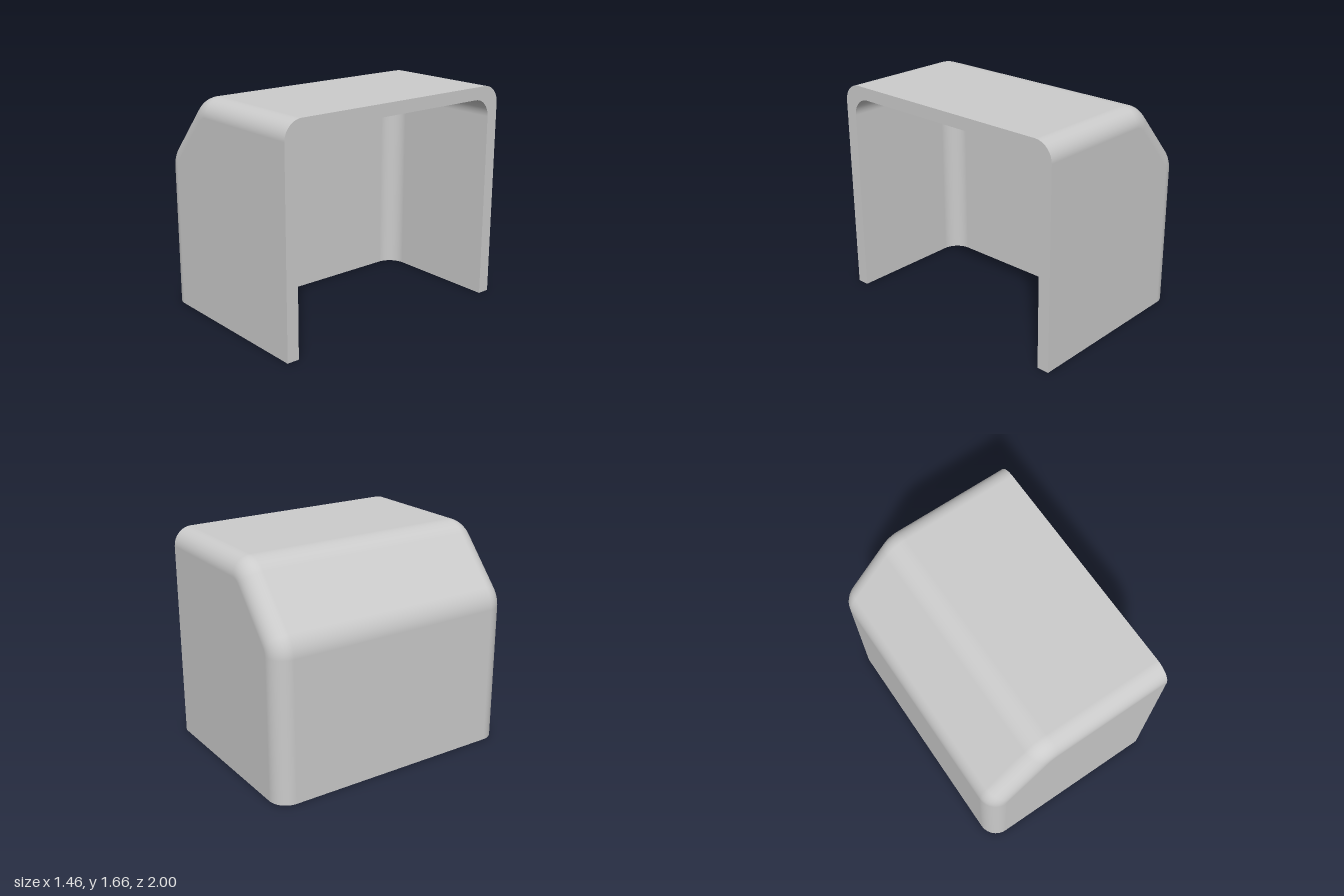
import * as THREE from 'three';

const FRONT_X = 0.73; // plane of the open end
const STEPS = 10;     // segments per rounded edge

// Side profile with filleted corners: points plus inward normals.
function profile(corners, radius) {
  const out = [];
  const angle = (a, b) => Math.atan2(b[1] - a[1], b[0] - a[0]);
  const add = (x, y, t) => out.push({ x, y, nx: Math.sin(t), ny: -Math.cos(t) });
  const last = corners.length - 1;
  add(...corners[0], angle(corners[0], corners[1]));
  for (let i = 1; i < last; i++) {
    const t0 = angle(corners[i - 1], corners[i]);
    const t1 = angle(corners[i], corners[i + 1]);
    const cut = radius * Math.tan((t0 - t1) / 2);
    const cx = corners[i][0] - Math.cos(t0) * cut + Math.sin(t0) * radius;
    const cy = corners[i][1] - Math.sin(t0) * cut - Math.cos(t0) * radius;
    for (let k = 0; k <= STEPS; k++) {
      const t = t0 + (t1 - t0) * k / STEPS;
      add(cx - Math.sin(t) * radius, cy + Math.cos(t) * radius, t);
    }
  }
  add(...corners[last], angle(corners[last - 1], corners[last]));
  return out;
}

// Sweep the profile across z, insetting it along a quarter round at both sides;
// the first and last columns close the flat side walls.
function sweepRows(points, half, r) {
  return points.map((p) => {
    const row = [{ pos: [FRONT_X, 0, half], nor: [0, 0, 1] }];
    for (const s of [1, -1]) {
      for (let k = 0; k <= STEPS; k++) {
        const a = (s > 0 ? 1 - k / STEPS : k / STEPS) * Math.PI / 2;
        const d = r * (1 - Math.cos(a));
        row.push({
          pos: [p.x + p.nx * d, p.y + p.ny * d, s * (half - r + r * Math.sin(a))],
          nor: [-p.nx * Math.cos(a), -p.ny * Math.cos(a), s * Math.sin(a)],
        });
      }
    }
    row.push({ pos: [FRONT_X, 0, -half], nor: [0, 0, -1] });
    return row;
  });
}

// Join rows of points into a surface; flip turns it inside out.
function surface(name, rows, { flip = false, normal = null } = {}) {
  const pos = [], nor = [], idx = [], n = rows[0].length;
  rows.forEach((row, i) => row.forEach((v, j) => {
    pos.push(...v.pos);
    nor.push(...(normal || v.nor.map((c) => (flip ? -c : c))));
    if (i === rows.length - 1 || j === n - 1) return;
    const a = i * n + j, b = a + n, c = a + 1, d = b + 1;
    idx.push(...(flip ? [a, c, b, b, c, d] : [a, b, c, b, d, c]));
  }));
  const geo = new THREE.BufferGeometry();
  geo.setAttribute('position', new THREE.Float32BufferAttribute(pos, 3));
  geo.setAttribute('normal', new THREE.Float32BufferAttribute(nor, 3));
  geo.setIndex(idx);
  const mesh = new THREE.Mesh(geo, new THREE.MeshStandardMaterial({ color: 0xcccccc }));
  mesh.name = name;
  return mesh;
}

export function createModel() {
  const group = new THREE.Group();
  group.name = 'hoodCover';

  // Chamfered outside and plain box-shaped cavity
  const outer = sweepRows(profile(
    [[-0.73, 0], [-0.73, 1.17], [-0.29, 1.665], [FRONT_X, 1.665]], 0.24), 1, 0.14);
  const inner = sweepRows(profile(
    [[-0.29, 0], [-0.29, 1.57], [FRONT_X, 1.57]], 0.14), 0.905, 0.14);

  group.add(
    surface('outerShell', outer),
    surface('innerCavity', inner, { flip: true }),
    // Flat edges joining outside and cavity
    surface('bottomEdge', [inner[0], outer[0]], { normal: [0, -1, 0] }),
    surface('frontRim', [outer.at(-1), inner.at(-1)], { normal: [1, 0, 0] }),
  );
  return group;
}
